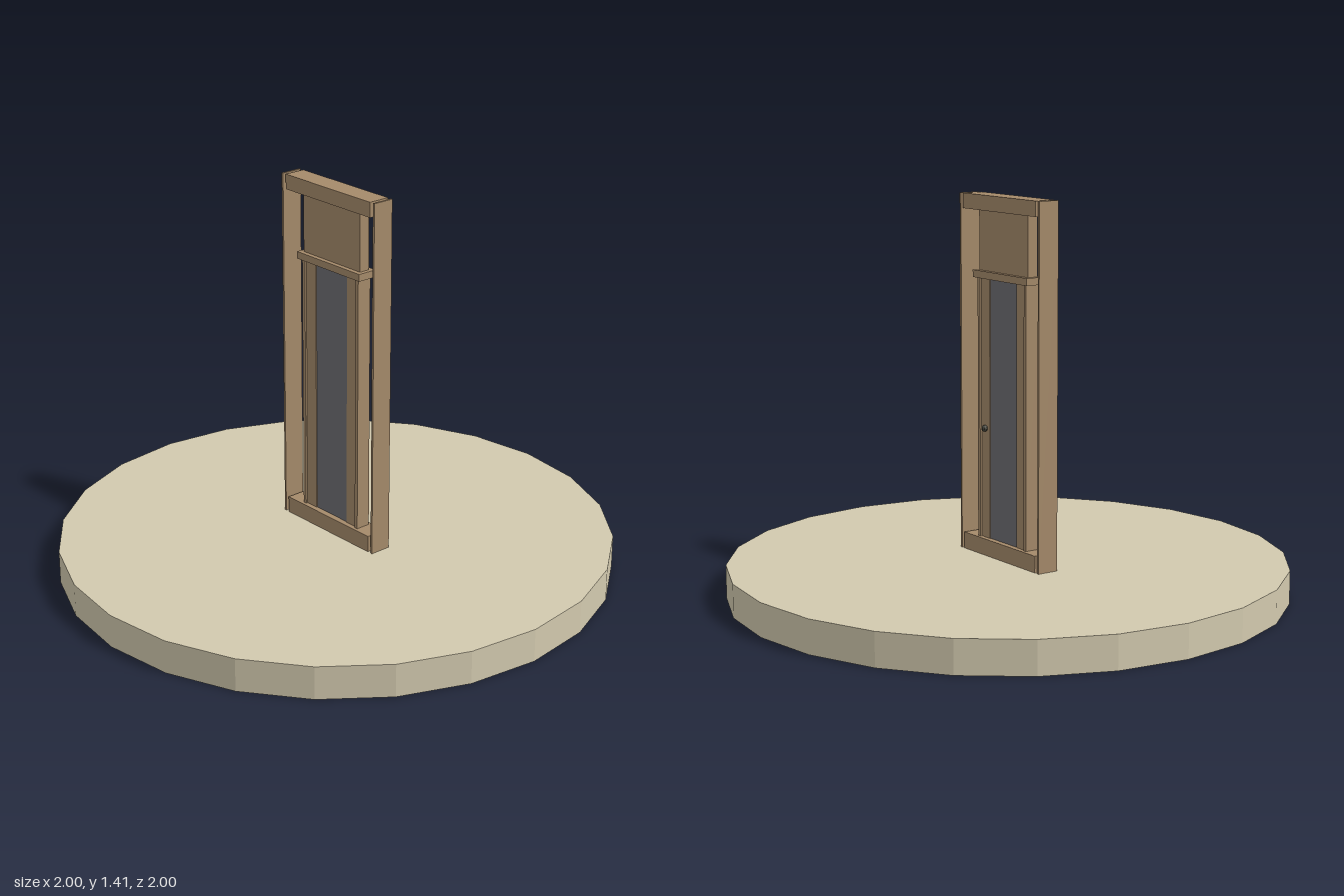
import * as THREE from 'three';

const material = (name, color) => {
  const m = new THREE.MeshStandardMaterial({ color, flatShading: true });
  m.name = name;
  return m;
};

export function createModel() {
  const model = new THREE.Group();
  const stone = material('pale stone', 0xd2c9ae);
  const wood = material('brown wood', 0xa58a6a);
  const slate = material('slate grey', 0x6e6d72);
  const metal = material('dark metal', 0x45453c);

  // Box from its x and y ranges, centred on z = 0
  const box = (name, mat, x0, x1, y0, y1, depth) => {
    const mesh = new THREE.Mesh(new THREE.BoxGeometry(x1 - x0, y1 - y0, depth), mat);
    mesh.name = name;
    mesh.position.set((x0 + x1) / 2, (y0 + y1) / 2, 0);
    model.add(mesh);
  };

  // Round ground disc
  const disc = new THREE.Mesh(new THREE.CylinderGeometry(1, 1, 0.12, 24), stone);
  disc.name = 'groundDisc';
  disc.position.y = 0.06;
  model.add(disc);

  // Outer frame: sill, lintel and thin side boards standing just clear of them
  box('sill', wood, -0.218, 0.218, 0.12, 0.18, 0.08);
  box('lintel', wood, -0.218, 0.218, 1.358, 1.412, 0.08);
  for (const [side, s] of [['left', 1], ['right', -1]]) {
    const x = s * 0.236;
    box(side + 'SideBoard', wood, x - 0.004, x + 0.004, 0.12, 1.412, 0.08);
  }

  // Panel and ledge above the door
  box('transomPanel', wood, -0.147, 0.147, 1.144, 1.358, 0.04);
  box('ledge', wood, -0.163, 0.163, 1.118, 1.144, 0.075);

  // Door leaf between jambs, with a stile down each edge
  box('doorPanel', slate, -0.133, 0.133, 0.18, 1.118, 0.036);
  for (const [side, s] of [['left', 1], ['right', -1]]) {
    const span = (a, b) => (s > 0 ? [a, b] : [-b, -a]);
    box(side + 'Jamb', wood, ...span(0.133, 0.147), 0.18, 1.118, 0.055);
    box(side + 'Stile', wood, ...span(0.082, 0.133), 0.18, 1.118, 0.042);
  }

  // Knob on the back of the door
  const knob = new THREE.Mesh(new THREE.SphereGeometry(0.012, 10, 8), metal);
  knob.name = 'doorKnob';
  knob.position.set(0.105, 0.58, -0.028);
  model.add(knob);

  return model;
}
